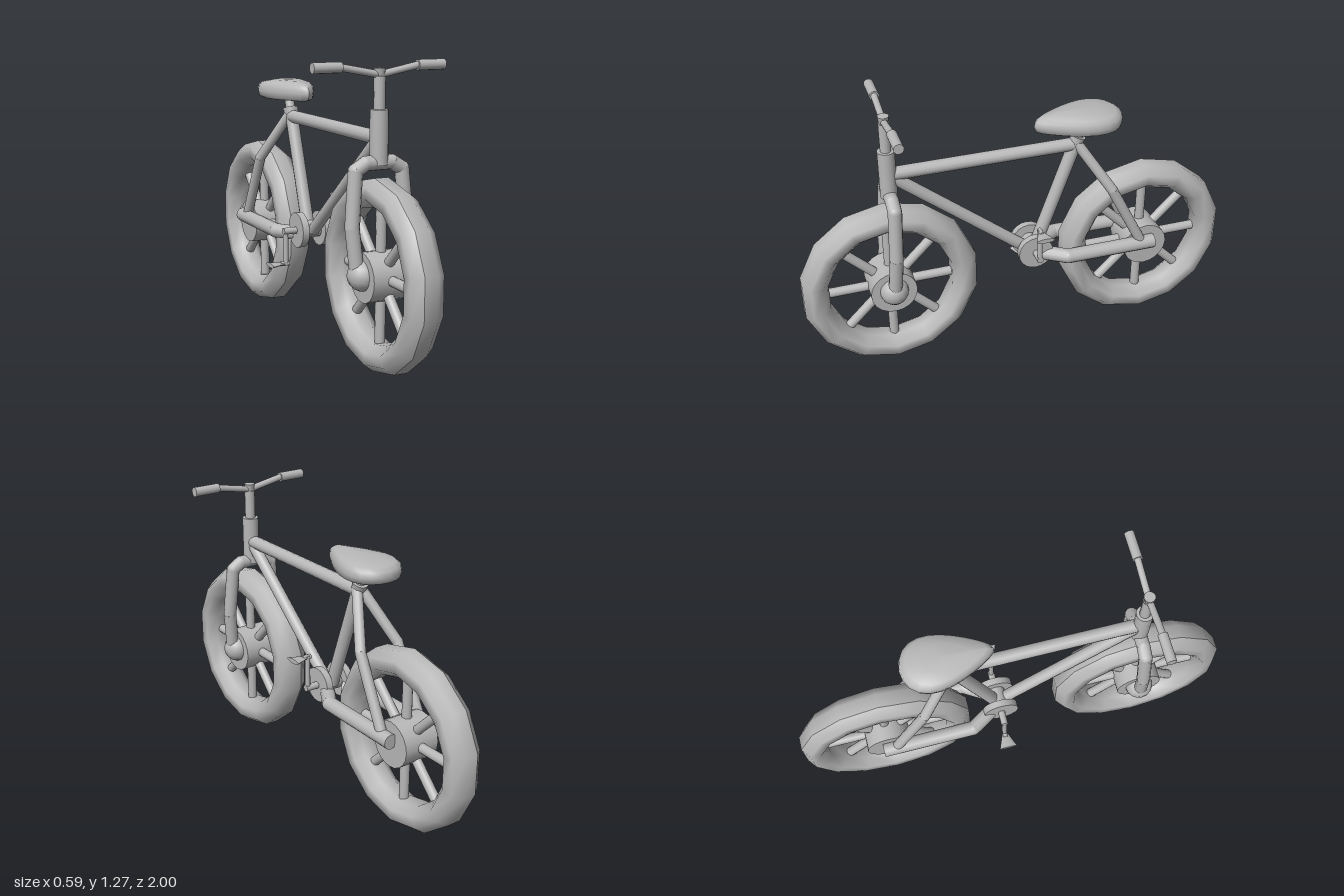
import * as THREE from 'three';

const grey = new THREE.MeshStandardMaterial({ color: 0xb8b8b8 });
grey.name = 'grey';
const V = (x, y, z) => new THREE.Vector3(x, y, z);

function add(parent, name, geometry) {
  const m = new THREE.Mesh(geometry, grey);
  m.name = name;
  parent.add(m);
  return m;
}

// Capped round bar from a to b
function rod(parent, name, a, b, r0, r1 = r0, sides = 12) {
  const m = add(parent, name, new THREE.CylinderGeometry(r1, r0, a.distanceTo(b), sides));
  m.position.copy(a).add(b).multiplyScalar(0.5);
  m.quaternion.setFromUnitVectors(V(0, 1, 0), b.clone().sub(a).normalize());
  return m;
}

// Bent bar: rods with round joints at the inner points
function bentRod(parent, name, pts, r) {
  const g = new THREE.Group();
  g.name = name;
  for (let i = 0; i < pts.length - 1; i++) {
    rod(g, name + 'Section', pts[i], pts[i + 1], r);
    if (i > 0) add(g, name + 'Bend', new THREE.SphereGeometry(r, 12, 8)).position.copy(pts[i]);
  }
  parent.add(g);
}

function wheel(name, z) {
  const g = new THREE.Group();
  g.name = name;
  // Tyre: octagonal section turned in 14 steps
  const section = [];
  for (let i = 0; i <= 8; i++) {
    const a = Math.PI / 8 + (i * Math.PI) / 4;
    section.push(new THREE.Vector2(0.346 + 0.0635 * Math.cos(a), 0.081 * Math.sin(a)));
  }
  add(g, 'tyre', new THREE.LatheGeometry(section, 14, Math.PI / 2).rotateZ(Math.PI / 2));
  rod(g, 'hub', V(-0.086, 0, 0), V(0.086, 0, 0), 0.105, 0.105, 20);
  for (let i = 0; i < 8; i++) {
    const a = (i * Math.PI) / 4;
    rod(g, 'spoke', V(0, 0, 0), V(0, 0.32 * Math.cos(a), 0.32 * Math.sin(a)), 0.022);
  }
  g.position.set(0, 0.405, z);
  return g;
}

// Teardrop saddle: a turned profile reshaped in plan
function saddleGeometry() {
  const profile = [[0, 1.05], [0.82, 1.05], [0.96, 1.06], [1, 1.085], [0.97, 1.11], [0.85, 1.125], [0.5, 1.137], [0, 1.14]];
  const geo = new THREE.LatheGeometry(profile.map(([s, y]) => new THREE.Vector2(s, y)), 24);
  const p = geo.attributes.position;
  for (let i = 0; i < p.count; i++) {
    const s = Math.hypot(p.getX(i), p.getZ(i)) || 1;
    const c = p.getZ(i) / s;
    p.setX(i, p.getX(i) * (0.113 - 0.057 * c));
    p.setZ(i, -0.275 + 0.202 * p.getZ(i));
  }
  geo.computeVertexNormals();
  return geo;
}

export function createModel() {
  const bike = new THREE.Group();
  bike.name = 'bicycle';
  bike.add(wheel('frontWheel', 0.605), wheel('rearWheel', -0.605));

  // Main frame
  rod(bike, 'headTube', V(0, 0.86, 0.58), V(0, 1.083, 0.58), 0.038, 0.038, 16);
  rod(bike, 'topTube', V(0, 0.967, 0.57), V(0, 0.967, -0.27), 0.03);
  rod(bike, 'downTube', V(0, 0.95, 0.56), V(0, 0.465, -0.03), 0.028);
  rod(bike, 'seatTube', V(0, 0.465, -0.085), V(0, 0.985, -0.272), 0.03);
  rod(bike, 'seatCollar', V(0, 0.965, -0.265), V(0, 1.005, -0.28), 0.03, 0.036);
  rod(bike, 'seatPost', V(0, 0.98, -0.27), V(0, 1.07, -0.305), 0.022);
  add(bike, 'saddle', saddleGeometry());

  // Steering
  rod(bike, 'stem', V(0, 1.07, 0.58), V(0, 1.215, 0.58), 0.024);
  rod(bike, 'stemCap', V(0, 1.205, 0.58), V(0, 1.247, 0.58), 0.018, 0.025);
  rod(bike, 'bottomBracket', V(-0.05, 0.465, -0.065), V(0.05, 0.465, -0.065), 0.04);
  rod(bike, 'crankAxle', V(-0.135, 0.465, -0.065), V(0.135, 0.465, -0.065), 0.016);

  // Mirrored parts
  for (const s of [1, -1]) {
    rod(bike, 'handlebar', V(0, 1.22, 0.58), V(s * 0.18, 1.254, 0.58), 0.015);
    rod(bike, 'grip', V(s * 0.172, 1.253, 0.58), V(s * 0.297, 1.253, 0.58), 0.022);
    bentRod(bike, 'forkLeg', [V(0, 0.868, 0.58), V(s * 0.06, 0.868, 0.58), V(s * 0.106, 0.84, 0.58),
      V(s * 0.125, 0.61, 0.592), V(s * 0.108, 0.42, 0.605)], 0.031);
    add(bike, 'forkEnd', new THREE.SphereGeometry(0.065, 16, 10)).position.set(s * 0.083, 0.415, 0.605);
    bentRod(bike, 'chainStay', [V(s * 0.045, 0.44, -0.11), V(s * 0.107, 0.438, -0.21),
      V(s * 0.107, 0.435, -0.635)], 0.034);
    bentRod(bike, 'seatStay', [V(s * 0.01, 0.975, -0.27), V(s * 0.1, 0.755, -0.415),
      V(s * 0.105, 0.44, -0.575)], 0.024);
    rod(bike, 'chainring', V(s * 0.04, 0.465, -0.065), V(s * 0.072, 0.465, -0.065), 0.081, 0.081, 20);

    // Crank and flared flat pedal, one up and one down
    const y = 0.465 + s * 0.152;
    rod(bike, 'crank', V(s * 0.124, 0.465, -0.065), V(s * 0.124, y + s * 0.008, -0.065), 0.012);
    const pedal = add(bike, 'pedal', new THREE.CylinderGeometry(0.042, 0.015, 0.068, 14).rotateZ(-Math.PI / 2));
    pedal.position.set(s * 0.169, y, -0.065);
    pedal.rotation.y = s > 0 ? 0 : Math.PI;
    pedal.scale.y = 0.26;
    rod(bike, 'pedalPin', V(s * 0.108, y, -0.065), V(s * 0.15, y, -0.065), 0.011);
  }
  return bike;
}
